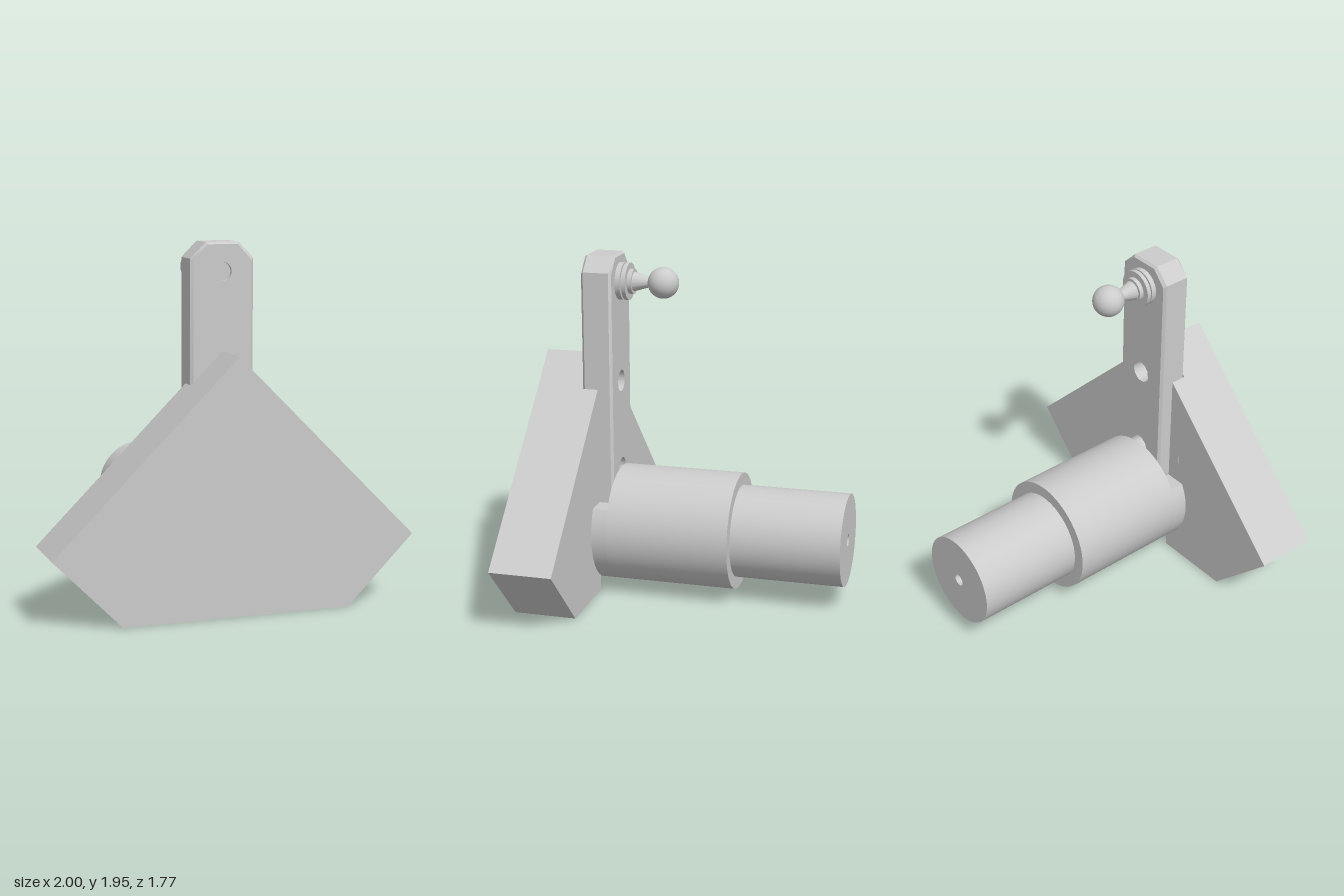
import * as THREE from 'three';
import { toCreasedNormals } from 'three/addons/utils/BufferGeometryUtils.js';

const material = new THREE.MeshStandardMaterial({ color: 0xcccccc });
const AXIS_Y = 0.375;   // height of the shaft axis
const SLOT = 0.175;     // half width of the slot and arm

function add(group, name, geometry) {
  const mesh = new THREE.Mesh(toCreasedNormals(geometry, 0.5), material);
  mesh.name = name;
  group.add(mesh);
  return mesh;
}

function polygon(points) {
  return new THREE.Shape(points.map(([x, y]) => new THREE.Vector2(x, y)));
}

// Solid slice between two depths; holes are [x, y, radius]
function slice(shape, holes, z0, z1) {
  for (const [x, y, r] of holes) {
    shape.holes.push(new THREE.Path().absarc(x, y, r, 0, Math.PI * 2, true));
  }
  const geometry = new THREE.ExtrudeGeometry(shape, { depth: z1 - z0, bevelEnabled: false, curveSegments: 32 });
  return geometry.translate(0, 0, z0);
}

// Turned part along z; profile is [radius, z] from back to front
function turned(profile, y, segments) {
  const points = profile.map(([r, z]) => new THREE.Vector2(r, z));
  return new THREE.LatheGeometry(points, segments).rotateX(Math.PI / 2).translate(0, y, 0);
}

function makePlate() {
  const group = new THREE.Group();
  group.name = 'mountingPlate';
  const outline = [[-0.63, 0], [0.63, 0], [1, AXIS_Y], [0, 1.375], [-1, AXIS_Y]];
  const holes = (bolt, centre) => [
    [-0.625, 0.375, bolt], [0.625, 0.375, bolt], [-0.312, 0.69, bolt], [0.312, 0.69, bolt],
    [0, 1.003, bolt], [0, 1.218, 0.036], [0, 0.697, 0.036], [0, AXIS_Y, centre],
  ];
  // Front rim, counterbored body and slot floor
  add(group, 'plateFront', slice(polygon(outline), holes(0.07, 0.133), 0.875, 0.885));
  add(group, 'plateBody', slice(polygon(outline), holes(0.063, 0.133), 0.72, 0.875));
  add(group, 'plateWeb', slice(polygon(outline), holes(0.063, 0.08), 0.62, 0.72));
  // Cheeks on both sides of the rear slot
  for (const s of [1, -1]) {
    const cheek = polygon([[s * SLOT, 0], [s * 0.63, 0], [s, AXIS_Y], [s * SLOT, 1.2]]);
    const cheekHoles = [[s * 0.625, 0.375, 0.063], [s * 0.312, 0.69, 0.063]];
    add(group, s > 0 ? 'leftCheek' : 'rightCheek', slice(cheek, cheekHoles, 0.53, 0.62));
  }
  return group;
}

function makeShaft() {
  const group = new THREE.Group();
  group.name = 'shaft';
  // Stepped body with a small rear bore and a threaded front bore
  add(group, 'shaftBody', turned([
    [0, -0.66], [0.035, -0.69], [0.035, -0.885], [0.265, -0.885], [0.265, -0.26],
    [0.335, -0.26], [0.335, 0.445], [0.07, 0.445], [0.07, 0.2], [0, 0.13],
  ], AXIS_Y, 72));
  // Shoulder cut flat on top for the foot of the arm
  const flat = Math.asin(0.16 / 0.335);
  const shoulder = new THREE.Shape().absarc(0, AXIS_Y, 0.335, Math.PI - flat, Math.PI * 2 + flat, false);
  add(group, 'shaftShoulder', slice(shoulder, [[0, AXIS_Y, 0.07]], 0.445, 0.53));
  // Tongue in the plate slot
  const side = Math.acos(SLOT / 0.335);
  const tongue = new THREE.Shape().absarc(0, AXIS_Y, 0.335, Math.PI + side, Math.PI * 2 - side, false);
  tongue.lineTo(SLOT, 0.535);
  tongue.lineTo(-SLOT, 0.535);
  add(group, 'shaftTongue', slice(tongue, [[0, AXIS_Y, 0.07]], 0.53, 0.62));
  return group;
}

function makeArm() {
  const group = new THREE.Group();
  group.name = 'arm';
  const outline = [[-SLOT, 0.535], [SLOT, 0.535], [SLOT, 1.865], [0.09, 1.95], [-0.09, 1.95], [-SLOT, 1.865]];
  const holes = (r) => [[0, 0.697, r], [0, 1.218, r], [0, 1.795, 0.05]];
  // Draw in the outer corners on one face to form the chamfer
  const chamfer = (geometry, z) => {
    const p = geometry.attributes.position;
    for (let i = 0; i < p.count; i++) {
      if (Math.abs(p.getZ(i) - z) > 0.001 || Math.abs(p.getX(i)) < 0.08) continue;
      p.setX(i, p.getX(i) * 0.92);
      if (p.getY(i) > 1.8) p.setY(i, p.getY(i) - 0.012);
    }
    return geometry;
  };
  add(group, 'armBack', chamfer(slice(polygon(outline), holes(0.062), 0.445, 0.459), 0.445));
  add(group, 'armCounterbore', slice(polygon(outline), holes(0.062), 0.459, 0.525));
  add(group, 'armCore', slice(polygon(outline), holes(0.036), 0.525, 0.606));
  add(group, 'armFront', chamfer(slice(polygon(outline), holes(0.036), 0.606, 0.62), 0.62));
  return group;
}

function makeBallStud() {
  const profile = [];
  // Ball, from its rear pole to the neck
  const end = Math.PI - Math.asin(0.03 / 0.088);
  for (let i = 0; i <= 24; i++) {
    const a = end * i / 24;
    profile.push([0.088 * Math.sin(a), 0.192 - 0.088 * Math.cos(a)]);
  }
  // Tapered neck, collar, grooved flange and threaded shank
  profile.push(
    [0.055, 0.36], [0.07, 0.36], [0.07, 0.385], [0.105, 0.385], [0.105, 0.408], [0.085, 0.408],
    [0.085, 0.416], [0.105, 0.416], [0.105, 0.445], [0.05, 0.445], [0.05, 0.6], [0, 0.6],
  );
  return turned(profile, 1.795, 48);
}

export function createModel() {
  const model = new THREE.Group();
  model.name = 'shaftMount';
  model.add(makePlate(), makeShaft(), makeArm());
  add(model, 'ballStud', makeBallStud());
  return model;
}
